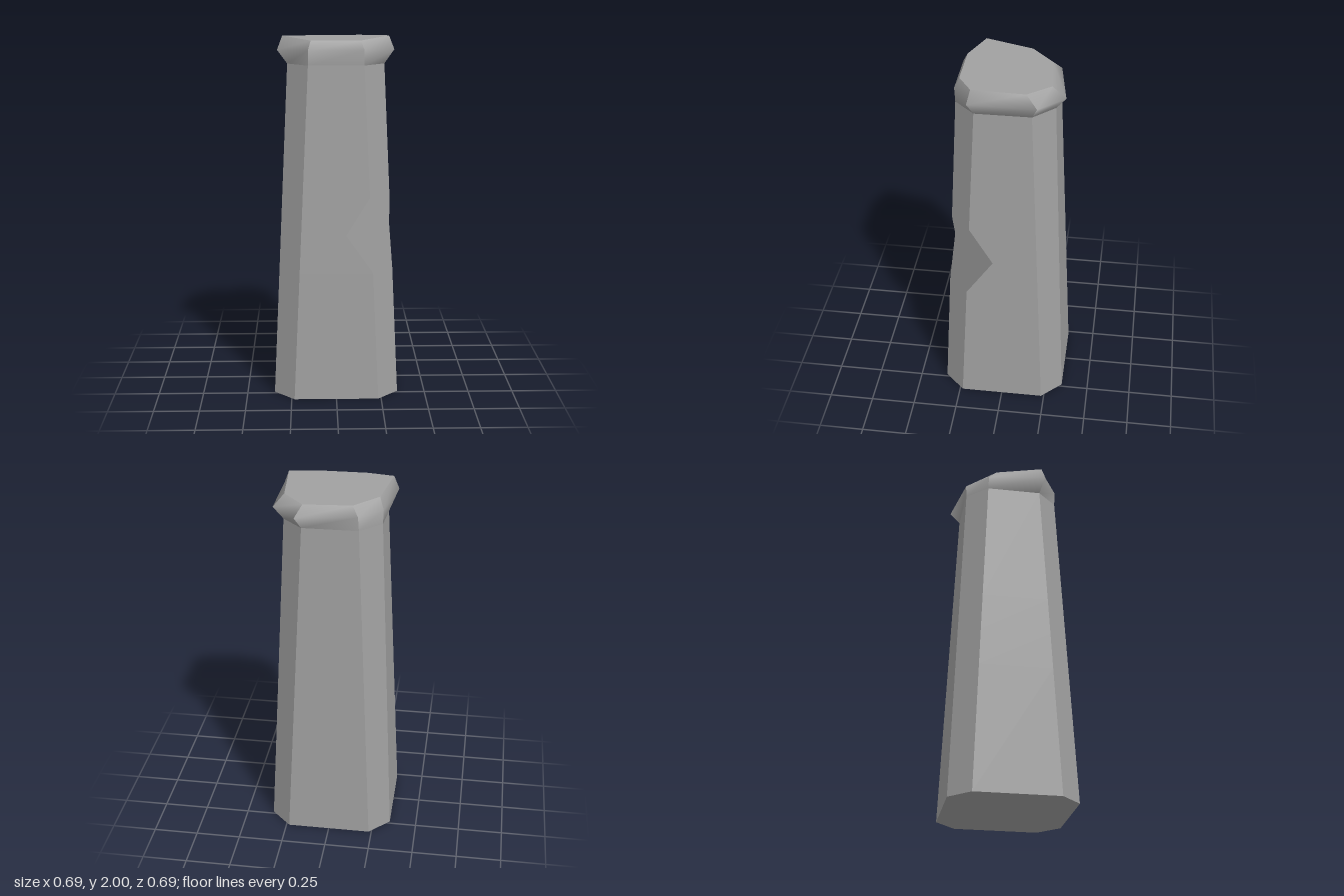
import * as THREE from 'three';

const V = (x, y, z) => new THREE.Vector3(x, y, z);

// Geometry from an indexed patch; optionally one shared normal for the whole patch
function patch(points, index, singleNormal) {
  const g = new THREE.BufferGeometry().setFromPoints(points);
  g.setIndex(index);
  g.computeVertexNormals();
  if (singleNormal) {
    const sum = V(0, 0, 0);
    for (let i = 0; i < index.length; i += 3) {
      const [a, b, c] = [0, 1, 2].map((k) => points[index[i + k]]);
      sum.add(b.clone().sub(a).cross(c.clone().sub(a)));
    }
    sum.normalize();
    points.forEach((_, i) => g.attributes.normal.setXYZ(i, sum.x, sum.y, sum.z));
  }
  return g;
}

// One vertical strip per side between stacked eight-point rings, creased at the corners
function loft(group, name, rings, material, singleNormal) {
  for (let s = 0; s < 8; s++) {
    const points = [], index = [];
    rings.forEach((ring, r) => {
      points.push(ring[s], ring[(s + 1) % 8]);
      if (r > 0) {
        const a = 2 * r - 2, b = a + 1, c = 2 * r, d = c + 1;
        index.push(b, a, c, b, c, d);
      }
    });
    const mesh = new THREE.Mesh(patch(points, index, singleNormal), material);
    mesh.name = name;
    group.add(mesh);
  }
}

// Flat lid fanned from one corner
function lid(group, name, ring, start, up, material) {
  const index = [];
  for (let i = 1; i < 7; i++) {
    const p = (start + i) % 8, q = (start + i + 1) % 8;
    index.push(start, ...(up ? [q, p] : [p, q]));
  }
  const mesh = new THREE.Mesh(patch(ring, index, true), material);
  mesh.name = name;
  group.add(mesh);
}

// Chamfered square section of the tapering shaft
function shaftRing(y) {
  const t = y / 1.85;
  const h = 0.347 - 0.085 * t, c = 0.234 - 0.084 * t;
  return [[-c, -h], [c, -h], [h, -c], [h, c], [c, h], [-c, h], [-h, c], [-h, -c]]
    .map(([x, z]) => V(x, y, z));
}

export function createModel() {
  const model = new THREE.Group();
  model.name = 'stonePost';
  const stone = new THREE.MeshStandardMaterial({ color: 0xa0a0a0 });
  stone.name = 'grey stone';

  // Shaft with a chip cut into its front corner
  const shaft = new THREE.Group();
  shaft.name = 'shaft';
  const rings = [0, 0.72, 0.93, 1.14, 1.85].map(shaftRing);
  rings[2][3].z = 0.053;
  rings[2][4].x = 0.053;
  loft(shaft, 'shaftSide', rings, stone, true);
  lid(shaft, 'base', rings[0], 0, false, stone);
  model.add(shaft);

  // Worn, irregular cap: bulging rim below a slightly sloped top
  const cap = new THREE.Group();
  cap.name = 'cap';
  const rim = [
    V(-0.145, 1.925, -0.264), V(0.178, 1.923, -0.315), V(0.312, 1.925, -0.18), V(0.313, 1.928, 0.178),
    V(0.15, 1.93, 0.266), V(-0.15, 1.93, 0.266), V(-0.315, 1.925, 0.175), V(-0.264, 1.925, -0.147),
  ];
  const top = [
    V(-0.112, 1.971, -0.22), V(0.145, 1.971, -0.24), V(0.26, 1.979, -0.12), V(0.285, 2, 0.16),
    V(0.132, 1.98, 0.241), V(-0.135, 1.98, 0.241), V(-0.287, 2, 0.16), V(-0.24, 1.979, -0.098),
  ];
  loft(cap, 'capRim', [rings[4], rim, top], stone, false);
  lid(cap, 'capTop', top, 3, true, stone);
  model.add(cap);

  return model;
}
